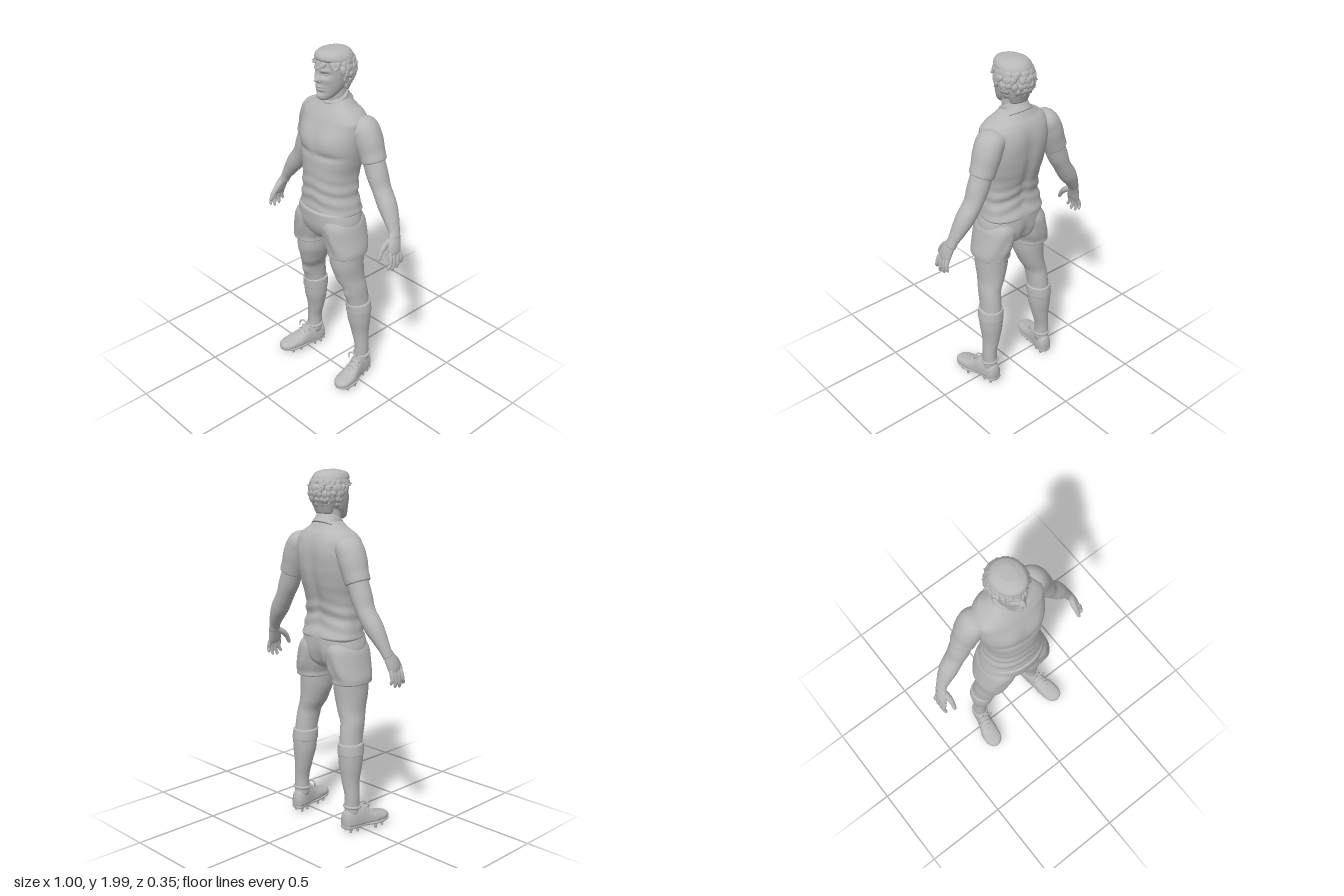
import * as THREE from 'three';
import { mergeGeometries } from 'three/addons/utils/BufferGeometryUtils.js';

const V = (x, y, z) => new THREE.Vector3(x, y, z);
const UP = V(0, 1, 0), FRONT = V(0, 0, 1);
const gauss = (d, r) => Math.exp(-(d * d) / (r * r));

// Monotone smoothing between rows, so that profiles never overshoot
function smoothRows(rows, steps) {
  const slope = (i, k) => {
    if (i === 0 || i === rows.length - 1) return 0.6 * (rows[Math.min(i + 1, rows.length - 1)][k] - rows[Math.max(i - 1, 0)][k]);
    const a = rows[i][k] - rows[i - 1][k], b = rows[i + 1][k] - rows[i][k];
    return a * b <= 0 ? 0 : (2 * a * b) / (a + b);
  };
  const out = [];
  for (let i = 0; i < rows.length - 1; i++)
    for (let s = 0; s < steps; s++) {
      const t = s / steps, t2 = t * t, t3 = t2 * t;
      out.push(rows[i].map((a, k) => a * (2 * t3 - 3 * t2 + 1) + rows[i + 1][k] * (3 * t2 - 2 * t3)
        + slope(i, k) * (t3 - 2 * t2 + t) + slope(i + 1, k) * (t3 - t2)));
    }
  out.push(rows[rows.length - 1]);
  return out;
}

// Skin over rows of [x, y, z, half width, half depth front, half depth back].
// Rings lie across `axis`, or across the path itself when no axis is given.
function loft(rows, { n = 32, steps = 5, axis = null, front = FRONT, power = 2, warp = null } = {}) {
  const r = smoothRows(rows, steps), pos = [], idx = [], m = r.length;
  const at = i => V(r[i][0], r[i][1], r[i][2]);
  for (let i = 0; i < m; i++) {
    const t = axis ? axis.clone() : at(Math.min(i + 1, m - 1)).sub(at(Math.max(i - 1, 0))).normalize();
    const u = t.clone().cross(front).normalize(), v = u.clone().cross(t);
    for (let j = 0; j < n; j++) {
      const a = (j / n) * Math.PI * 2, c = Math.cos(a), s = Math.sin(a), e = 2 / power;
      const p = at(i).addScaledVector(u, r[i][3] * Math.sign(c) * Math.abs(c) ** e)
        .addScaledVector(v, (s > 0 ? r[i][4] : r[i][5]) * Math.sign(s) * Math.abs(s) ** e);
      if (warp) warp(p);
      pos.push(p.x, p.y, p.z);
    }
  }
  for (let i = 0; i < m - 1; i++)
    for (let j = 0; j < n; j++) {
      const a = i * n + j, b = i * n + ((j + 1) % n);
      idx.push(a, a + n, b, b, a + n, b + n);
    }
  pos.push(...at(0).toArray(), ...at(m - 1).toArray());
  for (let j = 0; j < n; j++) {
    const k = (j + 1) % n, top = (m - 1) * n;
    idx.push(m * n, j, k, m * n + 1, top + k, top + j);
  }
  const g = new THREE.BufferGeometry();
  g.setAttribute('position', new THREE.Float32BufferAttribute(pos, 3));
  g.setIndex(idx);
  g.computeVertexNormals();
  return g;
}

// Round rod through points of [x, y, z, radius]
const rod = (pts, opts = {}) => loft(pts.map(([x, y, z, r]) => [x, y, z, r, r, r]), { n: 10, steps: 4, ...opts });

// Chest, back and cloth folds
function shapeShirt(p) {
  const side = Math.abs(p.x);
  if (p.z > 0) {
    p.z += 0.014 * gauss(side - 0.085, 0.075) * gauss(p.y - 1.52, 0.06);
    p.z -= 0.010 * gauss(side - 0.09, 0.08) * gauss(p.y - 1.44, 0.018);
  } else {
    p.z += 0.014 * gauss(p.x, 0.03) * gauss(p.y - 1.38, 0.2);
    p.z -= 0.008 * gauss(side - 0.11, 0.06) * gauss(p.y - 1.55, 0.08);
  }
  const fold = 0.004 * gauss(p.y - 1.2, 0.1) * Math.sin(p.y * 85 + side * 22);
  p.z += Math.sign(p.z) * fold;
  p.x += Math.sign(p.x) * fold * 0.6;
}

// Nose, brow, eye sockets, lips and chin
function shapeFace(p) {
  if (p.z < 0.02) return;
  const side = Math.abs(p.x), y = p.y;
  const ramp = y > 1.842 ? THREE.MathUtils.clamp((1.892 - y) / 0.05, 0, 1) : THREE.MathUtils.clamp((y - 1.826) / 0.016, 0, 1);
  p.z += 0.033 * ramp * gauss(p.x, 0.009 + 0.008 * ramp);
  p.z -= 0.015 * gauss(side - 0.032, 0.018) * gauss(y - 1.873, 0.013);
  p.z += 0.008 * gauss(side - 0.028, 0.028) * gauss(y - 1.895, 0.01);
  p.z += 0.005 * gauss(side - 0.05, 0.02) * gauss(y - 1.845, 0.02);
  p.z += 0.009 * gauss(p.x, 0.024) * (gauss(y - 1.806, 0.006) + gauss(y - 1.79, 0.007));
  p.z -= 0.006 * gauss(p.x, 0.03) * gauss(y - 1.774, 0.007);
  p.z += 0.007 * gauss(p.x, 0.022) * gauss(y - 1.752, 0.014);
}

// Layered locks that follow the skull and flick out at the tips
function hairLocks() {
  let seed = 7;
  const rnd = () => (seed = (seed * 16807) % 2147483647) / 2147483647;
  const on = (az, el, r) => V(0.1 * r * Math.cos(el) * Math.sin(az), 1.882 + 0.106 * r * Math.sin(el), -0.03 + 0.112 * r * Math.cos(el) * Math.cos(az));
  const out = [];
  for (const [el, count] of [[1.25, 12], [0.98, 18], [0.7, 24], [0.4, 26], [0.1, 26], [-0.2, 26], [-0.5, 24]])
    for (let i = 0; i < count; i++) {
      const az = ((i + rnd() * 0.6) / count) * Math.PI * 2 - Math.PI, face = Math.abs(az);
      if ((el < 0.65 && face < 1.05) || (el < 0.3 && face < 1.45) || (el < -0.1 && face < 1.75)) continue;
      const drift = (rnd() - 0.65) * 0.45, drop = 0.38 + rnd() * 0.15, flick = el < 0.8 ? 0.06 + rnd() * 0.1 : 0.02;
      const path = [on(az, el, 0.96), on(az + drift * 0.4, el - drop * 0.4, 1.03), on(az + drift, el - drop * 0.8, 1.02), on(az + drift * 1.7, el - drop, 1.02 + flick)];
      const size = [0.008, 0.017, 0.014, 0.002];
      out.push(loft(path.map((p, k) => [p.x, p.y, p.z, size[k], size[k] * 0.6, size[k] * 0.6]),
        { n: 8, steps: 3, front: on(az, el - drop / 2, 1).sub(V(0, 1.882, -0.03)).normalize() }));
    }
  return mergeGeometries(out);
}

export function createModel() {
  const model = new THREE.Group();
  const grey = new THREE.MeshStandardMaterial({ color: 0xb8b8b8 });
  grey.name = 'plain grey';
  const add = (name, geometry, parent = model) => {
    const mesh = new THREE.Mesh(geometry, grey);
    mesh.name = name;
    parent.add(mesh);
    return mesh;
  };
  const ball = (name, x, y, z, sx, sy, sz, parent) =>
    add(name, new THREE.SphereGeometry(1, 20, 14).scale(sx, sy, sz).translate(x, y, z), parent);

  // Head and neck
  add('head', loft([
    [0, 1.728, 0.045, 0.018, 0.02, 0.04], [0, 1.737, 0.04, 0.034, 0.036, 0.06], [0, 1.757, 0.02, 0.053, 0.06, 0.075],
    [0, 1.79, 0, 0.069, 0.081, 0.09], [0, 1.83, -0.01, 0.078, 0.092, 0.10], [0, 1.87, -0.015, 0.082, 0.097, 0.11],
    [0, 1.905, -0.018, 0.083, 0.1, 0.113], [0, 1.94, -0.02, 0.08, 0.095, 0.11], [0, 1.97, -0.02, 0.062, 0.075, 0.09],
    [0, 1.985, -0.02, 0.03, 0.04, 0.05]], { n: 96, steps: 9, axis: UP, warp: shapeFace }));
  add('neck', loft([[0, 1.62, -0.05, 0.08, 0.07, 0.08], [0, 1.7, -0.04, 0.066, 0.062, 0.066], [0, 1.76, -0.03, 0.063, 0.06, 0.066],
    [0, 1.82, -0.03, 0.06, 0.055, 0.07]], { axis: UP }));
  for (const s of [1, -1]) {
    ball('eye', s * 0.032, 1.872, 0.054, 0.013, 0.009, 0.013);
    ball('nostril', s * 0.012, 1.838, 0.085, 0.008, 0.007, 0.011);
    ball('ear', s * 0.086, 1.85, -0.03, 0.011, 0.03, 0.019);
  }
  add('hairCap', loft([
    [0, 1.765, -0.07, 0.055, 0.01, 0.035], [0, 1.83, -0.07, 0.083, 0.03, 0.06], [0, 1.88, -0.06, 0.094, 0.045, 0.078],
    [0, 1.92, -0.045, 0.097, 0.09, 0.09], [0, 1.95, -0.03, 0.093, 0.115, 0.1], [0, 1.978, -0.025, 0.074, 0.098, 0.085],
    [0, 1.992, -0.025, 0.035, 0.05, 0.045]], { axis: UP }));
  add('hairLocks', hairLocks());

  // Shirt
  add('shirt', loft([
    [0, 1.085, -0.02, 0.176, 0.155, 0.112], [0, 1.1, -0.02, 0.186, 0.16, 0.12], [0, 1.2, -0.02, 0.166, 0.158, 0.095],
    [0, 1.3, -0.02, 0.161, 0.156, 0.11], [0, 1.4, -0.02, 0.18, 0.152, 0.138], [0, 1.48, -0.02, 0.194, 0.145, 0.15],
    [0, 1.56, -0.02, 0.2, 0.125, 0.152], [0, 1.62, -0.02, 0.2, 0.102, 0.145], [0, 1.66, -0.025, 0.172, 0.085, 0.125],
    [0, 1.69, -0.03, 0.12, 0.07, 0.1], [0, 1.73, -0.035, 0.075, 0.05, 0.07]],
  { n: 80, steps: 9, axis: UP, power: 2.25, warp: shapeShirt }));
  const lean = V(0, Math.cos(0.5), Math.sin(0.5));
  add('collar', loft([[0, 1.685, -0.05, 0.094, 0.084, 0.084], [0, 1.72, -0.036, 0.08, 0.074, 0.074], [0, 1.738, -0.028, 0.078, 0.072, 0.072],
    [0, 1.742, -0.026, 0.073, 0.068, 0.068]], { axis: lean }));

  // Shorts
  add('shortsSeat', loft([
    [0, 0.92, 0, 0.06, 0.09, 0.09], [0, 0.96, 0, 0.15, 0.125, 0.125], [0, 1.03, 0, 0.196, 0.15, 0.14],
    [0, 1.1, 0, 0.177, 0.154, 0.138], [0, 1.112, 0, 0.165, 0.145, 0.125]], {
    n: 64, axis: UP, power: 2.2,
    warp: p => { if (p.z < 0) p.z += 0.02 * gauss(p.x, 0.025) * gauss(p.y - 0.97, 0.07); },
  }));

  for (const [s, side] of [[1, 'left'], [-1, 'right']]) {
    const flip = rows => rows.map(([x, ...rest]) => [s * x, ...rest]);

    add(side + 'ShortsLeg', loft(flip([
      [0.14, 0.847, 0, 0.092, 0.114, 0.114], [0.14, 0.853, 0, 0.097, 0.12, 0.12], [0.14, 0.872, 0, 0.097, 0.121, 0.121],
      [0.124, 0.93, 0, 0.1, 0.13, 0.133], [0.102, 1.02, 0, 0.1, 0.14, 0.137], [0.085, 1.08, 0, 0.08, 0.125, 0.115]]), {
      n: 64, axis: UP, power: 2.2,
      warp: p => { p.z += 0.004 * Math.sin(p.x * 70 + s * p.y * 30) * gauss(p.y - 0.93, 0.07); },
    }));

    // Arm with sleeve
    add(side + 'Sleeve', loft(flip([
      [0.14, 1.605, -0.06, 0.05, 0.06, 0.07], [0.185, 1.585, -0.065, 0.074, 0.078, 0.084], [0.213, 1.53, -0.07, 0.076, 0.077, 0.083],
      [0.235, 1.47, -0.074, 0.071, 0.071, 0.074], [0.254, 1.425, -0.075, 0.068, 0.068, 0.07], [0.256, 1.42, -0.075, 0.062, 0.062, 0.064]]), { n: 40 }));
    add(side + 'Arm', loft(flip([
      [0.235, 1.47, -0.074, 0.058, 0.06, 0.06], [0.278, 1.36, -0.076, 0.057, 0.061, 0.06], [0.315, 1.28, -0.076, 0.047, 0.055, 0.056],
      [0.36, 1.21, -0.072, 0.05, 0.055, 0.054], [0.405, 1.14, -0.063, 0.038, 0.045, 0.044], [0.438, 1.08, -0.052, 0.026, 0.034, 0.034],
      [0.448, 1.055, -0.045, 0.025, 0.035, 0.035]]), { n: 32 }));

    const hand = new THREE.Group();
    hand.name = side + 'Hand';
    model.add(hand);
    add('palm', loft(flip([
      [0.436, 1.085, -0.052, 0.023, 0.03, 0.03], [0.45, 1.055, -0.042, 0.022, 0.038, 0.037], [0.465, 1.01, -0.028, 0.021, 0.044, 0.043],
      [0.474, 0.978, -0.022, 0.016, 0.042, 0.042], [0.477, 0.968, -0.02, 0.009, 0.036, 0.036]]), { n: 24 }), hand);
    [[0.011, 0.033, 0.9], [-0.011, 0.004, 0.885], [-0.033, -0.03, 0.89], [-0.052, -0.06, 0.91]].forEach(([z0, z1, y], k) =>
      add('finger' + (k + 1), rod(flip([[0.47, 0.99, z0, 0.012], [0.483, 0.962, z0 + (z1 - z0) * 0.3, 0.0125],
        [0.489, (0.962 + y) / 2, (z0 + z1) / 2, 0.011], [0.485, y + 0.01, z1, 0.009], [0.483, y, z1, 0.004]])), hand));
    add('thumb', rod(flip([[0.447, 1.055, -0.025, 0.018], [0.44, 1.025, 0.02, 0.017], [0.44, 0.995, 0.046, 0.013],
      [0.443, 0.965, 0.062, 0.01], [0.444, 0.955, 0.066, 0.004]]), { n: 12, front: V(1, 0, 0) }), hand);

    // Leg, sock and cuff
    add(side + 'Leg', loft(flip([
      [0.184, 0.45, -0.053, 0.06, 0.066, 0.066], [0.179, 0.55, -0.045, 0.057, 0.076, 0.066], [0.174, 0.62, -0.035, 0.058, 0.084, 0.066],
      [0.15, 0.7, -0.015, 0.07, 0.094, 0.084], [0.135, 0.8, 0, 0.085, 0.106, 0.104], [0.13, 0.92, 0, 0.088, 0.11, 0.11]]), {
      n: 48, steps: 8, axis: UP,
      warp: p => {
        if (p.z > -0.03) p.z += 0.01 * gauss(p.x - s * 0.174, 0.03) * gauss(p.y - 0.59, 0.03)
          + 0.008 * gauss(p.x - s * 0.12, 0.03) * gauss(p.y - 0.67, 0.04);
      },
    }));
    add(side + 'Sock', loft(flip([
      [0.205, 0.1, -0.06, 0.04, 0.045, 0.045], [0.205, 0.2, -0.06, 0.04, 0.043, 0.044], [0.192, 0.3, -0.058, 0.05, 0.05, 0.053],
      [0.186, 0.4, -0.054, 0.066, 0.068, 0.067], [0.185, 0.47, -0.052, 0.069, 0.073, 0.072]]), { n: 40, axis: UP }));
    add(side + 'SockCuff', loft(flip([
      [0.185, 0.452, -0.052, 0.068, 0.071, 0.07], [0.185, 0.456, -0.052, 0.072, 0.076, 0.075], [0.182, 0.512, -0.049, 0.067, 0.077, 0.073],
      [0.182, 0.517, -0.049, 0.058, 0.07, 0.066]]), { n: 40, axis: UP }));

    // Studded boot
    const boot = new THREE.Group();
    boot.name = side + 'Boot';
    model.add(boot);
    add('upper', loft(flip([
      [0.202, 0.06, -0.12, 0.014, 0.03, 0.02], [0.202, 0.056, -0.108, 0.036, 0.07, 0.028], [0.207, 0.055, -0.06, 0.045, 0.093, 0.03],
      [0.216, 0.055, -0.015, 0.045, 0.097, 0.03], [0.225, 0.055, 0.025, 0.048, 0.067, 0.03], [0.235, 0.055, 0.07, 0.055, 0.043, 0.03],
      [0.242, 0.055, 0.12, 0.053, 0.028, 0.028], [0.245, 0.053, 0.16, 0.038, 0.02, 0.023], [0.246, 0.05, 0.177, 0.012, 0.008, 0.01]]),
    { n: 40, axis: FRONT, front: UP, power: 2.3 }), boot);
    add('sole', loft(flip([
      [0.202, 0.033, -0.12, 0.016, 0.008, 0.008], [0.202, 0.033, -0.105, 0.039, 0.01, 0.01], [0.216, 0.033, -0.01, 0.042, 0.01, 0.01],
      [0.236, 0.033, 0.07, 0.057, 0.01, 0.01], [0.242, 0.034, 0.12, 0.054, 0.01, 0.01], [0.245, 0.037, 0.16, 0.038, 0.01, 0.01],
      [0.246, 0.039, 0.176, 0.012, 0.006, 0.006]]), { n: 24, axis: FRONT, front: UP, power: 3.5 }), boot);
    const collar = add('ankleCollar', new THREE.TorusGeometry(0.044, 0.008, 10, 32).rotateX(Math.PI / 2 + 0.1), boot);
    collar.position.set(s * 0.206, 0.148, -0.06);
    for (const [x, z] of [[0.18, -0.085], [0.225, -0.09], [0.185, -0.04], [0.235, -0.045], [0.2, 0.06], [0.275, 0.06], [0.21, 0.115], [0.272, 0.115]])
      add('stud', new THREE.CylinderGeometry(0.011, 0.007, 0.028, 12).translate(s * x, 0.014, z), boot);
    for (let k = 0; k < 4; k++) {
      const z = -0.002 + k * 0.022, x = 0.222 + k * 0.005, y = 0.146 - k * 0.0165;
      add('lace', rod([[s * x - 0.03, y - 0.018, z, 0.004], [s * x, y + 0.002, z + 0.003, 0.0045], [s * x + 0.03, y - 0.018, z + 0.006, 0.004]]), boot);
    }
    for (const d of [-1, 1])
      add('bowLoop', rod([[s * 0.218, 0.156, -0.005, 0.004], [s * 0.218 + d * 0.025, 0.172, 0.005, 0.005],
        [s * 0.218 + d * 0.046, 0.152, 0.012, 0.005], [s * 0.218 + d * 0.04, 0.132, 0.016, 0.003]]), boot);
  }
  return model;
}
